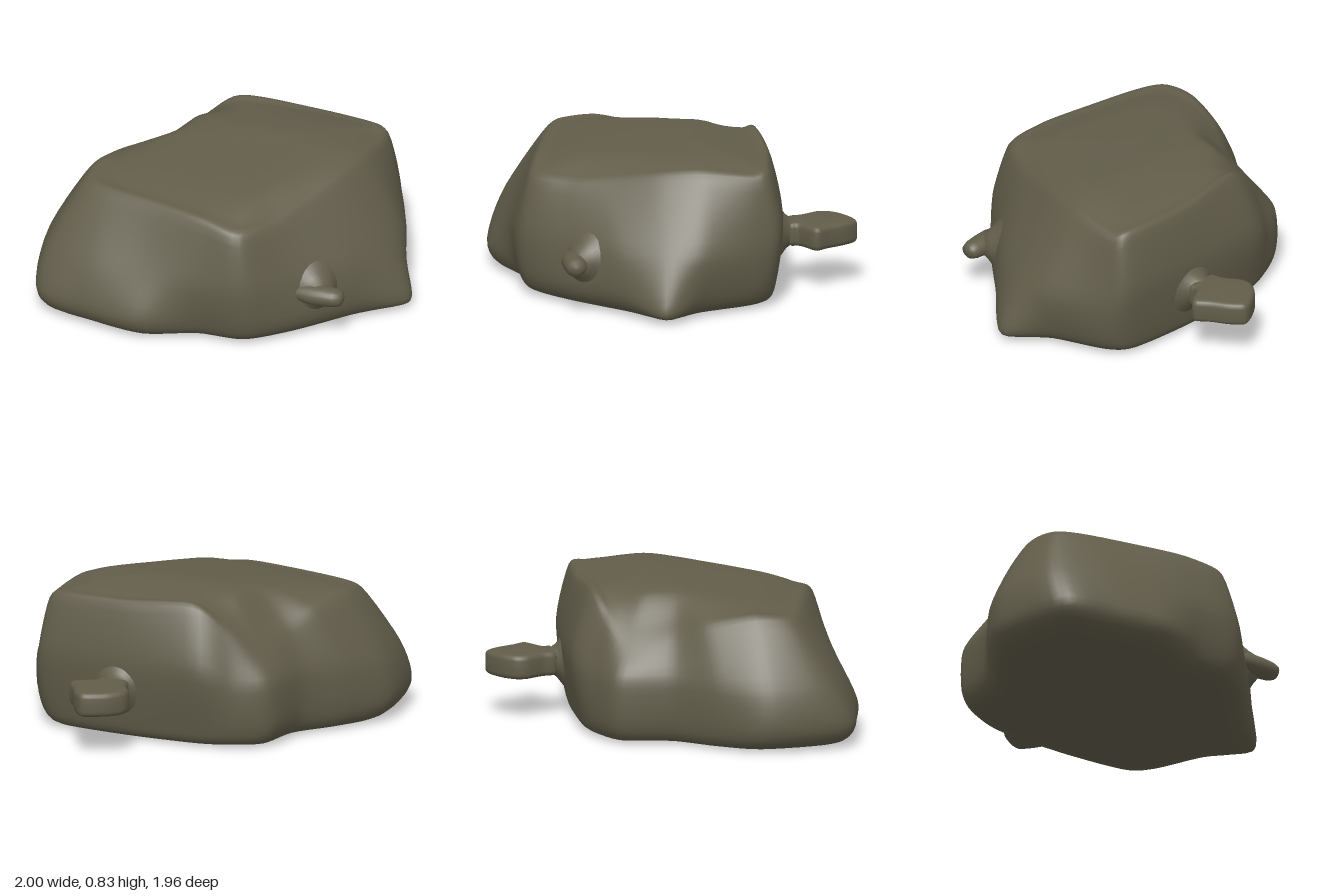
import * as THREE from 'three';
import { mergeVertices, toCreasedNormals } from 'three/addons/utils/BufferGeometryUtils.js';

const V = (x, y, z) => new THREE.Vector3(x, y, z);

// Corners around the boulder: foot [x, z], waist [x, z], shoulder [x, y, z]
const corners = [
  [[-0.25, -0.55], [-0.26, -0.59], [-0.2, 0.77, -0.48]],
  [[0.2, -0.55], [0.2, -0.58], [0.2, 0.75, -0.51]],
  [[0.62, -0.5], [0.65, -0.53], [0.61, 0.74, -0.47]],
  [[0.75, -0.39], [0.76, -0.41], [0.69, 0.71, -0.38]],
  [[0.87, -0.09], [0.88, -0.09], [0.68, 0.73, -0.1]],
  [[0.995, 0.14], [0.86, 0.13], [0.62, 0.71, 0.13]],
  [[0.78, 0.38], [0.73, 0.38], [0.5, 0.66, 0.39]],
  [[0.52, 0.66], [0.5, 0.64], [0.38, 0.63, 0.61]],
  [[0.28, 0.85], [0.28, 0.86], [0.23, 0.64, 0.8]],
  [[0, 0.87], [0, 0.88], [0, 0.68, 0.77]],
  [[-0.3, 0.975], [-0.3, 0.88], [-0.3, 0.69, 0.7]],
  [[-0.62, 0.93], [-0.62, 0.85], [-0.6, 0.69, 0.63]],
  [[-0.92, 0.83], [-0.9, 0.73], [-0.75, 0.69, 0.55]],
  [[-1, 0.4], [-0.96, 0.4], [-0.76, 0.7, 0.35]],
  [[-0.87, 0.14], [-0.86, 0.14], [-0.7, 0.64, 0.1]],
  [[-0.69, -0.1], [-0.69, -0.1], [-0.6, 0.56, -0.08]],
  [[-0.63, -0.39], [-0.62, -0.39], [-0.54, 0.51, -0.33]],
  [[-0.45, -0.5], [-0.45, -0.5], [-0.39, 0.63, -0.43]],
];

const crown = (x, z) => 0.83 - 0.04 * (x - 0.3) ** 2 - 0.1 * Math.abs(z + 0.1);

// Rises from underside to crown for one corner
function cornerProfile([foot, waist, top], i) {
  const cx = 0.05, cz = 0.05;
  // Low shoulders lead into a longer, straighter slope
  const slope = THREE.MathUtils.clamp(0.4 + (top[1] - 0.55) * 1.2, 0.4, 0.62);
  const inward = (k, rise) => {
    const x = top[0] + (cx - top[0]) * k, z = top[2] + (cz - top[2]) * k;
    return V(x, top[1] + (crown(x, z) - top[1]) * rise, z);
  };
  return [
    V(cx, 0, cz),
    V(foot[0] * 0.5, 0.002, foot[1] * 0.5),
    V(foot[0] * 0.9, 0.016, foot[1] * 0.91),
    V(foot[0], i === 5 ? 0.07 : 0.13, foot[1]),
    V(waist[0], waist[1] < -0.52 ? 0.44 : 0.36, waist[1]),
    V(...top),
    inward(0.13, slope), inward(0.36, 0.94), inward(0.7, 1),
    V(cx, crown(cx, cz), cz),
  ];
}

function boulderGeometry() {
  const profiles = corners.map(cornerProfile);
  const around = corners.length * 6, up = 45;
  // One closed curve through each level, then a smooth rise through the levels
  const levels = profiles[0].map((_, k) =>
    new THREE.CatmullRomCurve3(profiles.map((p) => p[k]), true, 'catmullrom', 0.4));
  const position = [], index = [];
  for (let i = 0; i < around; i++) {
    const rise = new THREE.CatmullRomCurve3(
      levels.map((c) => c.getPoint(i / around)), false, 'catmullrom', 0.4);
    for (let j = 0; j <= up; j++) {
      const p = rise.getPoint(j / up);
      position.push(p.x, Math.max(p.y, 0), p.z);
      if (j === up) continue;
      const a = i * (up + 1) + j, b = ((i + 1) % around) * (up + 1) + j;
      if (j > 0) index.push(a, a + 1, b);
      if (j < up - 1) index.push(b, a + 1, b + 1);
    }
  }
  let geo = new THREE.BufferGeometry();
  geo.setAttribute('position', new THREE.Float32BufferAttribute(position, 3));
  geo.setIndex(index);
  geo = mergeVertices(geo, 1e-4);
  geo.computeVertexNormals();
  return geo;
}

// Round stub turned from [radius, distance] pairs, listed from root to tip
const turned = (pairs) =>
  new THREE.LatheGeometry(pairs.map(([r, d]) => new THREE.Vector2(r, d)), 24);

export function createModel() {
  const group = new THREE.Group();
  const stone = new THREE.MeshStandardMaterial({ color: 0x625d4a });
  stone.name = 'olive stone';
  const add = (name, geo) => {
    const mesh = new THREE.Mesh(geo, stone);
    mesh.name = name;
    group.add(mesh);
    return mesh;
  };

  add('boulder', boulderGeometry());

  // Small nub on the front left face, pointing sideways
  const nub = add('sideNub', turned([
    [0.05, 0.5], [0.066, 0.58], [0.064, 0.66], [0.058, 0.72],
    [0.046, 0.755], [0.02, 0.766], [0, 0.767]]));
  nub.rotation.z = -Math.PI / 2;
  nub.scale.x = 0.88;
  nub.position.set(0, 0.27, 0.605);

  // Flare where the nub grows out of the sloping face
  const flare = add('sideNubRoot', turned([
    [0.17, -0.03], [0.125, 0], [0.09, 0.03], [0.065, 0.06], [0, 0.08]]));
  flare.quaternion.setFromUnitVectors(V(0, 1, 0), V(0.72, 0.12, 0.68).normalize());
  flare.position.set(0.6, 0.275, 0.55);

  // Flared neck at the back
  const neck = add('backNeck', turned([
    [0.17, 0.54], [0.125, 0.575], [0.092, 0.6], [0.076, 0.625], [0.066, 0.65], [0.06, 0.68], [0, 0.7]]));
  neck.rotation.x = -Math.PI / 2;
  neck.position.set(0.21, 0.298, 0);

  // Flat diamond-shaped knob on the neck, with rounded rims
  const outline = [
    [0.13, -0.61], [0.1, -0.69], [0.045, -0.78], [0.045, -0.85], [0.1, -0.92], [0.19, -0.975],
    [0.25, -0.985], [0.31, -0.92], [0.36, -0.83], [0.41, -0.76], [0.39, -0.72], [0.3, -0.66], [0.29, -0.61],
  ].map(([x, z]) => V(x, z, 0));
  const rim = new THREE.CatmullRomCurve3(outline, true, 'catmullrom', 0.4).getPoints(65);
  rim.pop();
  const knob = new THREE.ExtrudeGeometry(
    new THREE.Shape(rim.map((p) => new THREE.Vector2(p.x, p.y))),
    { depth: 0.075, bevelSize: 0.03, bevelOffset: -0.03, bevelThickness: 0.03, bevelSegments: 4 });
  knob.rotateX(Math.PI / 2).translate(0, 0.335, 0);
  add('backKnob', toCreasedNormals(knob, 0.9));

  return group;
}
